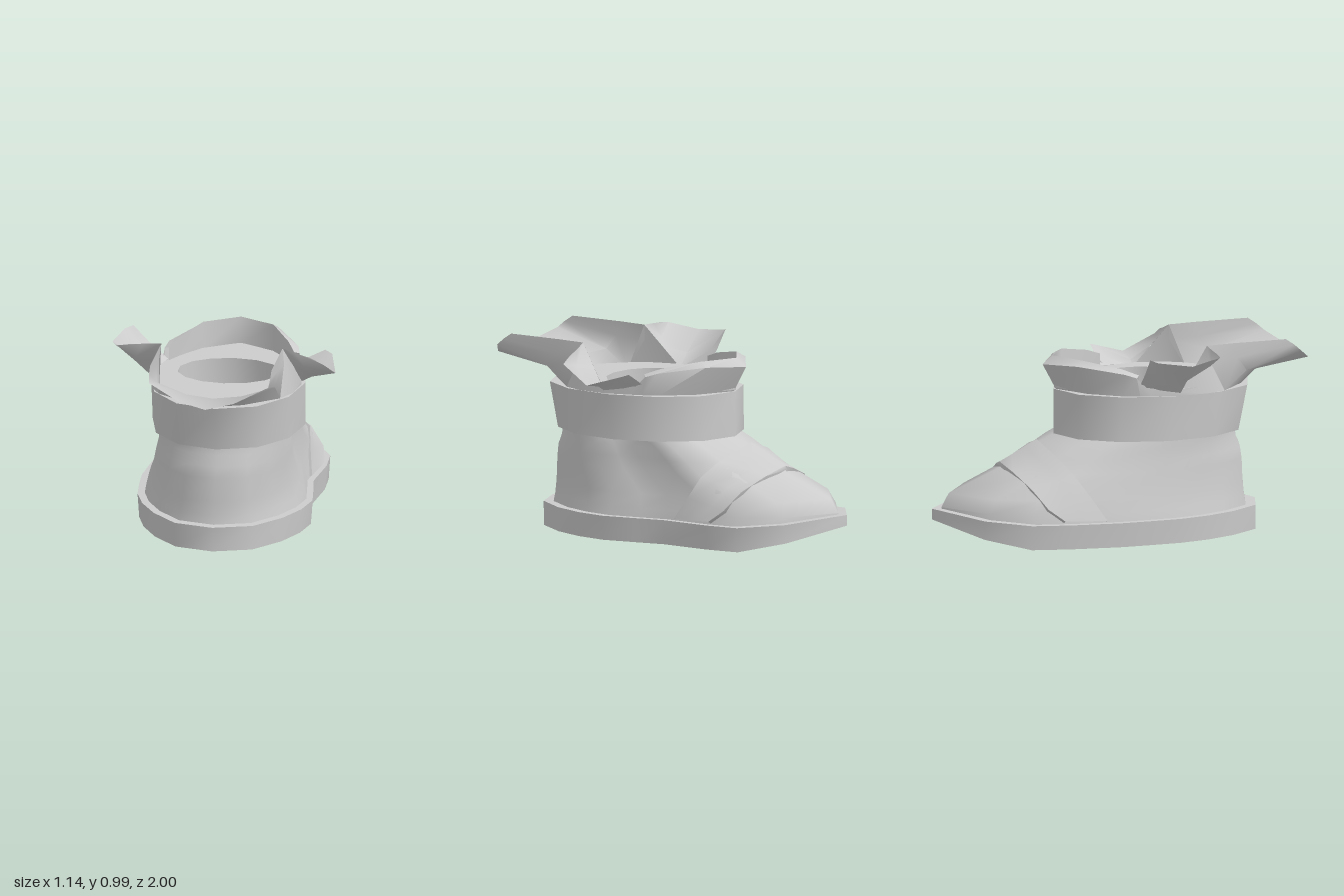
import * as THREE from 'three';
import { toCreasedNormals } from 'three/addons/utils/BufferGeometryUtils.js';

const material = new THREE.MeshStandardMaterial({ color: 0xcccccc });
const thin = new THREE.MeshStandardMaterial({ color: 0xcccccc, side: THREE.DoubleSide });
const lerp = THREE.MathUtils.lerp;
const MID = 0.012; // centre line of the boot in x

// Grid of points to a surface; closed rings can be capped at both ends
function surface(rows, closed = false, capped = false) {
  const tri = [], n = rows[0].length;
  for (let i = 0; i < rows.length - 1; i++) {
    for (let j = 0; j < (closed ? n : n - 1); j++) {
      const k = (j + 1) % n;
      const a = rows[i][j], b = rows[i][k], c = rows[i + 1][k], d = rows[i + 1][j];
      tri.push(...a, ...b, ...c, ...a, ...c, ...d);
    }
  }
  if (capped) {
    [rows[0], rows[rows.length - 1]].forEach((ring, end) => {
      const mid = [0, 1, 2].map(q => ring.reduce((s, p) => s + p[q], 0) / n);
      ring.forEach((p, j) => {
        const next = ring[(j + 1) % n];
        tri.push(...mid, ...(end ? p : next), ...(end ? next : p));
      });
    });
  }
  const g = new THREE.BufferGeometry();
  g.setAttribute('position', new THREE.Float32BufferAttribute(tri, 3));
  return toCreasedNormals(g, 1.15);
}

// Completes a half row (outer +x end to centre) by mirroring about the centre line
const mirrorRow = half => [...half, ...half.slice(0, -1).reverse().map(([x, y, z]) => [-x, y, z])]
  .map(([x, y, z]) => [x + MID, y, z]);

// Footprint [x, z], from heel round by +x to the toe and back
const foot = [[0.01, 0.72], [0.21, 0.66], [0.34, 0.5], [0.415, 0.34], [0.45, 0.18], [0.43, 0], [0.41, -0.16],
  [0.44, -0.42], [0.435, -0.6], [0.315, -0.815], [MID, -1], [-0.29, -0.815], [-0.405, -0.6], [-0.445, -0.4],
  [-0.467, -0.15], [-0.46, 0], [-0.445, 0.18], [-0.4, 0.34], [-0.32, 0.5], [-0.19, 0.66]];

// Upper: [height, width scale, toe z, heel z, x shift]
const levels = [[0.11, 0.93, -0.95, 0.67, 0], [0.17, 0.9, -0.95, 0.66, 0], [0.24, 0.85, -0.91, 0.655, 0.003],
  [0.36, 0.79, -0.63, 0.645, 0.007], [0.42, 0.765, -0.53, 0.635, 0.012], [0.475, 0.75, -0.43, 0.61, 0.015],
  [0.53, 0.73, -0.31, 0.6, 0.015]];
const ringAt = ([y, w, toe, heel, dx]) => foot.map(([x, z]) => [x * w + dx, y, lerp(toe, heel, (z + 1) / 1.72)]);

// x of the upper at a given height and depth, on one side
function upperX(y, z, side) {
  let i = 0;
  while (i < levels.length - 2 && levels[i + 1][0] < y) i++;
  const t = (y - levels[i][0]) / (levels[i + 1][0] - levels[i][0]);
  const ring = ringAt(levels[i].map((v, q) => lerp(v, levels[i + 1][q], t)));
  const half = side > 0 ? ring.slice(0, 11) : [ring[0], ...ring.slice(10).reverse()];
  for (let j = 1; j < half.length - 1; j++) {
    const a = half[j], b = half[j + 1];
    if (z <= a[2] && z >= b[2]) return lerp(a[0], b[0], (a[2] - z) / (a[2] - b[2]));
  }
  return MID;
}

// One edge of the strap, following the upper from side to side; path is [z, y] from sole to crest
function strapEdge(path, lift) {
  const top = path[path.length - 1];
  const side = s => path.slice(0, -1).map(([z, y]) => [upperX(y, z, s) + s * lift, y + lift / 2, z]);
  return [...side(1), [MID, top[1] + lift / 2, top[0]], ...side(-1).reverse()];
}

// Oval ring from heel round by +x
function oval(y, rx, z0, rz, n = 12) {
  return Array.from({ length: n }, (_, i) => {
    const a = i / n * Math.PI * 2, s = Math.sin(a);
    return [0.018 + rx * Math.sign(s) * Math.abs(s) ** 0.95, y, z0 + rz * Math.cos(a)];
  });
}

export function createModel() {
  const group = new THREE.Group();
  const add = (name, geometry, mat = material) => {
    const mesh = new THREE.Mesh(geometry, mat);
    mesh.name = name;
    group.add(mesh);
  };

  // Sole, curling up at the toe
  const soleRing = (y, s, rise) => foot.map(([x, z]) =>
    [x * s, y + rise * THREE.MathUtils.clamp((-z - 0.6) / 0.4, 0, 1) ** 1.4, z]);
  add('sole', surface([soleRing(0, 0.98, 0.11), soleRing(0.125, 1, 0.04)], true, true));

  // Upper, open inside the cuff
  add('upper', surface(levels.map(ringAt), true));

  // Strap over the instep, with a turned-in edge front and back
  const back = [[-0.21, 0.13], [-0.28, 0.24], [-0.35, 0.35], [-0.4, 0.42], [-0.44, 0.485]];
  const front = [[-0.43, 0.13], [-0.51, 0.19], [-0.57, 0.28], [-0.61, 0.34], [-0.64, 0.375]];
  const between = t => back.map(([z, y], i) => [lerp(z, front[i][0], t), lerp(y, front[i][1], t)]);
  add('strap', surface([strapEdge(back, -0.02), strapEdge(back, 0.012), strapEdge(between(0.33), 0.016),
    strapEdge(between(0.67), 0.02), strapEdge(front, 0.025), strapEdge(front, -0.02)]), thin);

  // Ankle cuff, a band with turned-in edges
  add('cuff', surface([oval(0.515, 0.3, 0.143, 0.4), oval(0.515, 0.39, 0.143, 0.493),
    oval(0.745, 0.395, 0.168, 0.518), oval(0.745, 0.33, 0.168, 0.44)], true));

  // Lining with a round, deep opening for the leg
  const rim = [[0, 0.65], [0.13, 0.6], [0.2, 0.54], [0.3, 0.44], [0.35, 0.36], [0.38, 0.2], [0.34, 0.04], [0.3, -0.06],
    [0.18, -0.23], [0, -0.35], [-0.18, -0.23], [-0.3, -0.06], [-0.35, 0.04], [-0.385, 0.2], [-0.35, 0.36],
    [-0.3, 0.44], [-0.2, 0.54], [-0.13, 0.6]];
  const lining = new THREE.Shape(rim.map(([x, z]) => new THREE.Vector2(x + MID, -z)));
  const hole = Array.from({ length: 14 }, (_, i) => {
    const a = i / 14 * Math.PI * 2;
    return new THREE.Vector2(0.018 + 0.263 * Math.sin(a), -0.14 + 0.22 * Math.cos(a));
  });
  lining.holes.push(new THREE.Path(hole));
  const plate = new THREE.ExtrudeGeometry(lining, { depth: 0.03, bevelEnabled: false });
  plate.rotateX(-Math.PI / 2).translate(0, 0.752, 0);
  add('lining', plate);
  const wellRing = (y, s) => hole.map(p => [0.018 + (p.x - 0.018) * s, y, 0.14 + (-p.y - 0.14) * s]);
  add('legOpening', surface([wellRing(0.782, 1), wellRing(0.44, 0.98), wellRing(0.44, 0.001)], true), thin);

  // Long back flap, a shallow trough
  add('backFlap', surface([
    mirrorRow([[0.31, 0.98, 0.365], [0.32, 0.9, 0.37], [0.31, 0.745, 0.46], [0.14, 0.745, 0.6], [0, 0.745, 0.65]]),
    mirrorRow([[0.31, 0.985, 0.5], [0.31, 0.91, 0.53], [0.3, 0.84, 0.58], [0.14, 0.815, 0.68], [0, 0.81, 0.72]]),
    mirrorRow([[0.31, 0.99, 0.785], [0.31, 0.96, 0.83], [0.305, 0.925, 0.87], [0.14, 0.86, 0.96], [0, 0.835, 1]]),
  ]), thin);

  // Side flaps, the right one standing higher, with the collar wall that joins them to the others
  const wallFoot = [[0.31, 0.745, 0.46], [0.36, 0.745, 0.36], [0.385, 0.745, 0.2], [0.355, 0.745, 0.06], [0.34, 0.745, 0]];
  const wallTop = [[0.32, 0.9, 0.37], [0.31, 0.98, 0.365], [0.385, 0.765, 0.2], [0.35, 0.79, 0.03], [0.345, 0.84, -0.02]];
  const base = [[0.31, 0.98, 0.365], [0.35, 0.87, 0.28], [0.385, 0.76, 0.2], [0.365, 0.775, 0.1], [0.325, 0.79, 0]];
  const middle = [[0.39, 0.36], [0.43, 0.34], [0.45, 0.2], [0.44, 0.06], [0.41, 0]];
  const tip = [[0.46, 0.36], [0.53, 0.36], [0.57, 0.2], [0.53, 0.03], [0.49, 0]];
  for (const [name, s, middleY, tipY] of [
    ['left', 1, [0.955, 0.88, 0.787, 0.81, 0.83], [0.935, 0.9, 0.81, 0.86, 0.87]],
    ['right', -1, [0.975, 0.9, 0.83, 0.855, 0.875], [0.97, 0.96, 0.93, 0.95, 0.96]]]) {
    const flip = row => row.map(([x, y, z]) => [s * x + MID, y, z]);
    const raise = (row, heights) => row.map(([x, z], i) => [s * x, heights[i], z]);
    add(name + 'Flap', surface([flip(base), raise(middle, middleY), raise(tip, tipY)]), thin);
    add(name + 'CollarWall', surface([flip(wallFoot), flip(wallTop)]), thin);
  }

  // Front flap with a thick rolled rim
  add('frontFlap', surface([
    mirrorRow([[0.34, 0.745, 0], [0.31, 0.745, -0.08], [0.19, 0.745, -0.23], [0, 0.745, -0.34]]),
    mirrorRow([[0.345, 0.84, -0.02], [0.33, 0.86, -0.08], [0.2, 0.89, -0.29], [0, 0.875, -0.41]]),
    mirrorRow([[0.32, 0.85, 0], [0.28, 0.88, -0.08], [0.18, 0.915, -0.25], [0, 0.918, -0.355]]),
    mirrorRow([[0.32, 0.77, 0], [0.28, 0.77, -0.08], [0.18, 0.77, -0.24], [0, 0.77, -0.345]]),
  ]), thin);

  return group;
}
